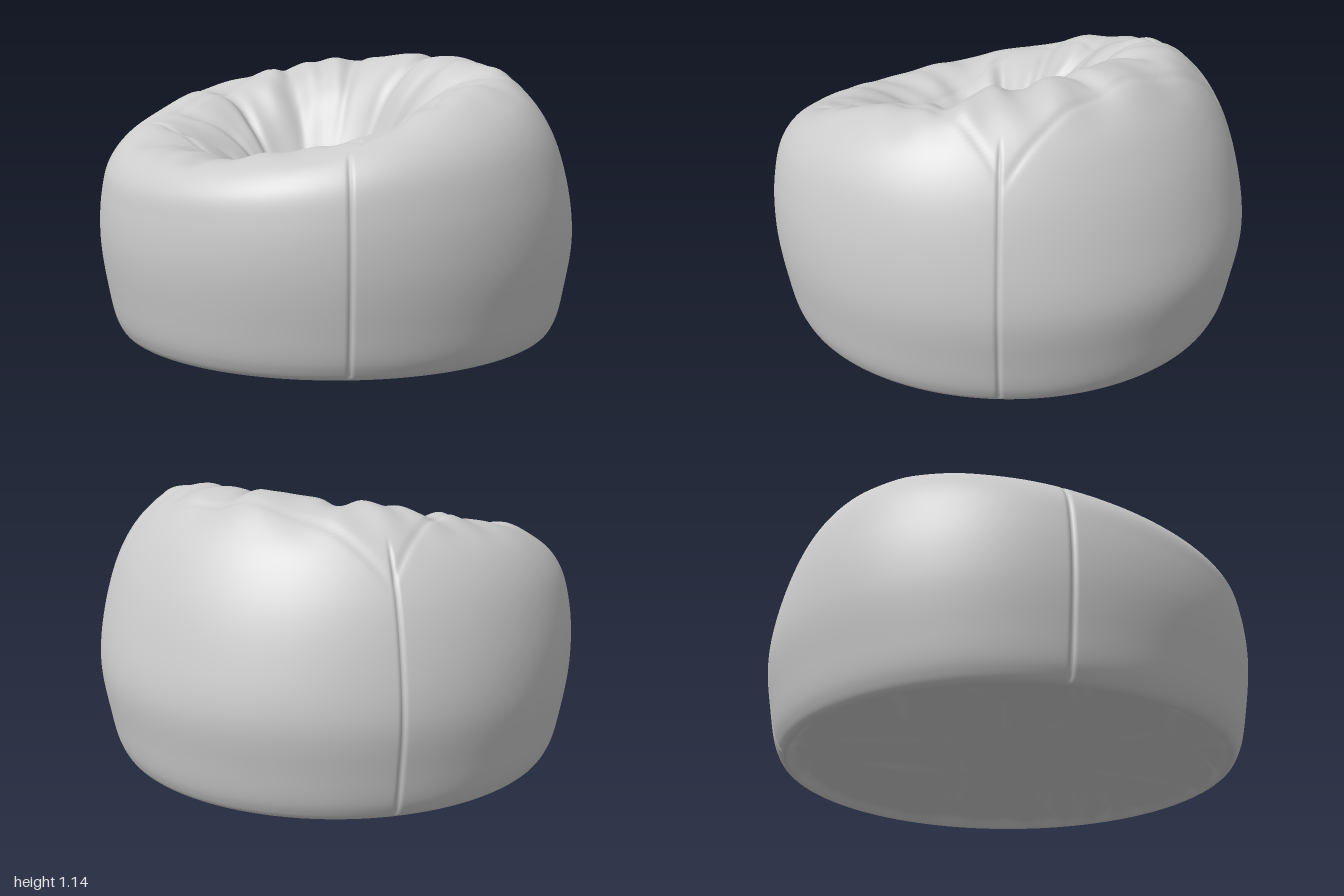
import * as THREE from 'three';

const SEGMENTS = 360, STEPS = 11;

// Cross-sections [radius, height], from the middle of the base, up the wall, over the rim, down into the seat
const BASE = [[0, 0.025], [0.45, 0.025], [0.82, 0.012], [0.905, 0.002], [0.94, 0.05], [0.975, 0.2], [1, 0.4]];
const FRONT = [...BASE, [0.99, 0.56], [0.965, 0.66], [0.895, 0.735], [0.77, 0.765], [0.59, 0.74], [0.4, 0.66], [0.2, 0.56], [0, 0.5]];
const SIDE = [...BASE, [0.985, 0.62], [0.925, 0.82], [0.83, 0.94], [0.7, 1.005], [0.55, 0.97], [0.4, 0.85], [0.21, 0.63], [0, 0.5]];
const BACK = [...BASE, [0.955, 0.62], [0.875, 0.83], [0.765, 1.0], [0.63, 1.105], [0.48, 1.125], [0.355, 1.01], [0.22, 0.71], [0, 0.5]];
// The hollow of the seat lies forward of the middle
const SHIFT = [0, 0, 0, 0, 0, 0, 0, 0, 0, 0, 0, 0.02, 0.05, 0.09, 0.12];
const LAST = SIDE.length - 1;

// Creases running out of the hollow: [angle from the front, depth, width]
const CREASES = [
  [0.72, 0.035, 0.08], [1.08, 0.03, 0.07], [1.35, 0.045, 0.08], [2.02, 0.055, 0.13],
  [2.55, 0.02, 0.1], [2.95, 0.03, 0.08], [3.65, 0.025, 0.1], [4.25, 0.055, 0.13],
  [4.85, 0.04, 0.08], [5.2, 0.03, 0.07], [5.55, 0.035, 0.08],
];

const { smoothstep } = THREE.MathUtils;
const bell = (d, width) => Math.exp(-((d / width) ** 2));
const angleBetween = (a, b) => Math.atan2(Math.sin(a - b), Math.cos(a - b));

let seed = 7;
function random() {
  seed = (seed * 16807) % 2147483647;
  return seed / 2147483647;
}

// Crumpled cloth cells on the underside, around a flat middle
const cells = [[0, 0, 0.01]];
for (let i = 0; i < 32; i++) {
  const a = random() * Math.PI * 2, r = 0.25 + 0.65 * Math.sqrt(random());
  cells.push([r * Math.sin(a), r * Math.cos(a), random() * 0.025]);
}
function crumple(x, z) {
  const wx = x + 0.03 * Math.sin(9 * z), wz = z + 0.03 * Math.sin(8 * x);
  let first = 9, second = 9, height = 0, nextHeight = 0;
  for (const [cx, cz, h] of cells) {
    const d = Math.hypot(wx - cx, (wz - cz) * 1.3);
    if (d < first) {
      second = first; nextHeight = height;
      first = d; height = h;
    } else if (d < second) {
      second = d; nextHeight = h;
    }
  }
  const gap = second - first;
  const edge = 0.5 * (1 - smoothstep(gap, 0, 0.1));
  return height * (1 - edge) + nextHeight * edge + 0.018 * bell(gap, 0.06);
}

// Folds and ripples in the seat and over the rim
function seatFolds(angle, u) {
  const seat = smoothstep(u, 9.4, 11.2) * (1 - smoothstep(u, 11.6, 13.3));
  const rim = smoothstep(u, 8.6, 10) * (1 - smoothstep(u, 10.8, 12.4));
  const bent = angle + 0.03 * Math.sin(u * 1.9 + 3 * Math.sin(angle * 2));
  let y = 0;
  for (const [a, depth, width] of CREASES) {
    const d = angleBetween(bent, a);
    y += seat * depth * (0.3 * bell(d - width * 1.6, width) - 0.7 * bell(d, width * 0.8));
  }
  const ripple = Math.sin(19 * angle + 3 * Math.sin(3 * angle) + u * 1.7);
  const broad = Math.sin(9 * angle + 2 * Math.sin(2 * angle + 1) - u);
  return y + rim * (0.005 * ripple + 0.008 * broad);
}

function coverPoint(curve, angle, u) {
  const p = curve.getPoint(u / LAST);
  let r = Math.max(0, p.x), y = p.y;
  // Upright seams at the four corners
  let corner = 9;
  for (let k = 0; k < 4; k++) {
    corner = Math.min(corner, Math.abs(angleBetween(angle, Math.PI / 4 + k * Math.PI / 2)));
  }
  const upright = smoothstep(u, 3, 3.6) * (1 - smoothstep(u, 8.6, 9.2));
  r -= upright * 0.01 * bell(corner, 0.008);
  let x = r * Math.sin(angle), z = r * Math.cos(angle) + p.z;
  if (u > 7.5) {
    // Square seam around the top panel
    const d = Math.max(Math.abs(x) / 0.61, Math.abs(z + 0.05) / 0.58) - 1;
    const top = smoothstep(u, 7.8, 8.6) * (1 - smoothstep(u, 11.2, 12));
    y += seatFolds(angle, u) - top * 0.007 * bell(d, 0.02);
  }
  if (u < 3) y += crumple(x, z) * (1 - smoothstep(u, 2.3, 3));
  return [x, y, z];
}

export function createModel() {
  const rows = LAST * STEPS;
  const positions = new Float32Array((rows + 1) * SEGMENTS * 3);
  for (let j = 0; j < SEGMENTS; j++) {
    // Columns crowd together at the corner seams
    const even = (j / SEGMENTS) * Math.PI * 2;
    const angle = even + 0.15 * Math.sin(4 * even), c = Math.cos(angle);
    // Blend front, side and back sections smoothly round the bag
    const blend = (i, k) => SIDE[i][k] + c * (FRONT[i][k] - BACK[i][k]) / 2
      + c * c * ((FRONT[i][k] + BACK[i][k]) / 2 - SIDE[i][k]);
    const curve = new THREE.CatmullRomCurve3(
      SIDE.map((_, i) => new THREE.Vector3(blend(i, 0), blend(i, 1), SHIFT[i])));
    for (let i = 0; i <= rows; i++) {
      positions.set(coverPoint(curve, angle, i / STEPS), (i * SEGMENTS + j) * 3);
    }
  }

  const bandIndex = (from, to) => {
    const index = [];
    for (let i = from; i < to; i++) {
      for (let j = 0; j < SEGMENTS; j++) {
        const n = (j + 1) % SEGMENTS;
        const a = i * SEGMENTS + j, b = i * SEGMENTS + n;
        const d = a + SEGMENTS, e = b + SEGMENTS;
        // One triangle per column at the two poles
        if (i === rows - 1) index.push(a, b, d);
        else if (i === 0) index.push(a, e, d);
        else index.push(a, b, e, a, e, d);
      }
    }
    return index;
  };

  // Normals come from the whole cover so the panels meet smoothly
  const whole = new THREE.BufferGeometry();
  whole.setAttribute('position', new THREE.BufferAttribute(positions, 3));
  whole.setIndex(bandIndex(0, rows));
  whole.computeVertexNormals();
  const normals = whole.attributes.normal.array;

  const material = new THREE.MeshStandardMaterial({ color: 0xcccccc });
  const group = new THREE.Group();
  group.name = 'beanBag';
  const panels = [['underside', 0, 3], ['sidePanels', 3, 9], ['seat', 9, LAST]];
  for (const [name, from, to] of panels) {
    const start = from * STEPS * SEGMENTS, end = (to * STEPS + 1) * SEGMENTS;
    const geometry = new THREE.BufferGeometry();
    geometry.setAttribute('position', new THREE.BufferAttribute(positions.slice(start * 3, end * 3), 3));
    geometry.setAttribute('normal', new THREE.BufferAttribute(normals.slice(start * 3, end * 3), 3));
    geometry.setIndex(bandIndex(from * STEPS, to * STEPS).map((v) => v - start));
    const mesh = new THREE.Mesh(geometry, material);
    mesh.name = name;
    group.add(mesh);
  }
  return group;
}
